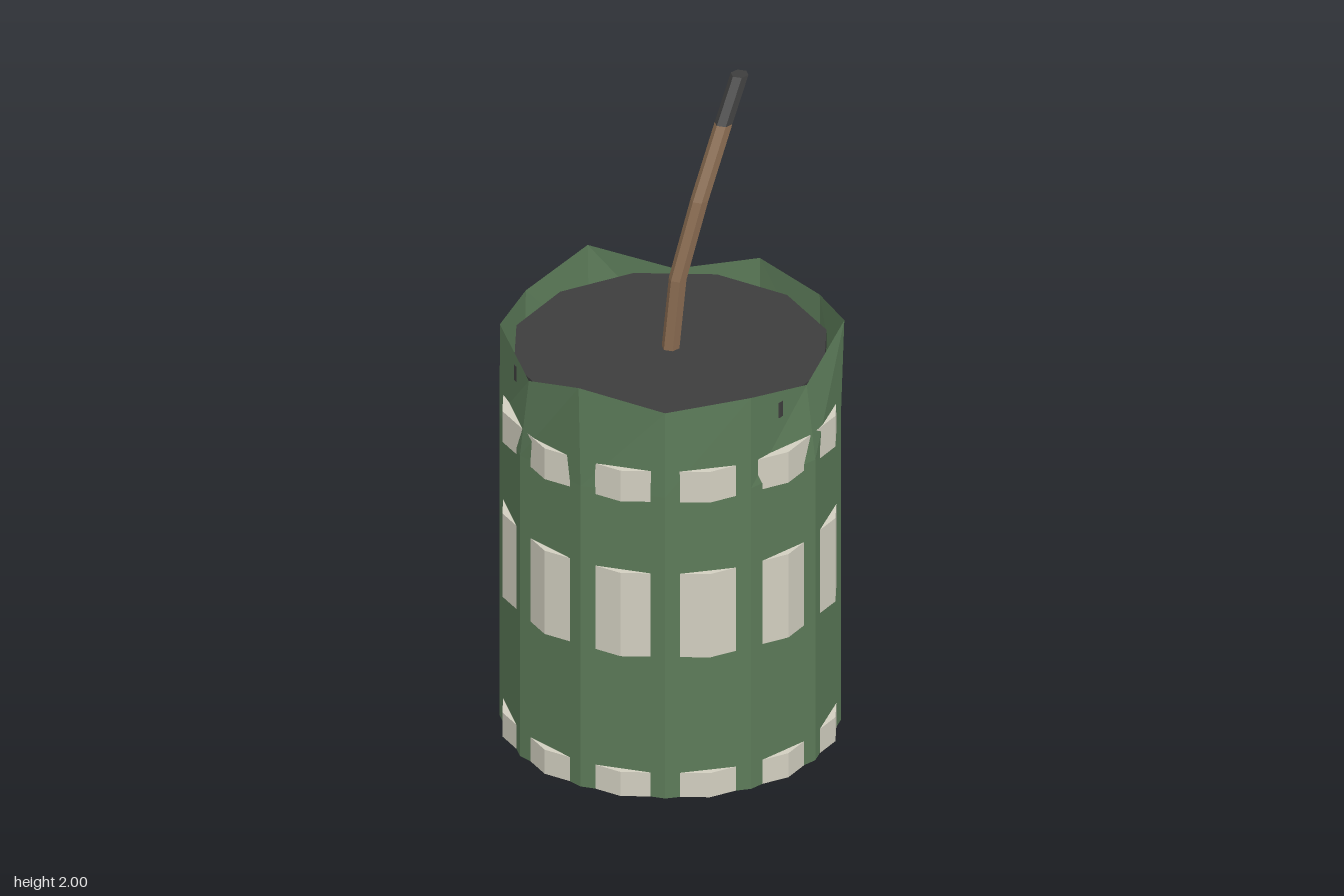
import * as THREE from 'three';

const mat = (name, color, side = THREE.FrontSide) =>
  new THREE.MeshStandardMaterial({ name, color, side, flatShading: true });

export function createModel() {
  const green = mat('green', 0x5c7b59, THREE.DoubleSide);
  const cream = mat('cream', 0xd2cfc0);
  const charcoal = mat('charcoal', 0x3d3d3d);
  const brown = mat('brown', 0x86694f);

  const group = new THREE.Group();
  const add = (name, geometry, material) => {
    const mesh = new THREE.Mesh(geometry, material);
    mesh.name = name;
    group.add(mesh);
    return mesh;
  };
  const STEP = Math.PI / 6;

  // Twelve-sided wrapper; the torn rim repeats every four corners
  const rimHeight = [1.24, 1.33, 1.28, 1.30];
  const rimRadius = [0.47, 0.51, 0.497, 0.499];
  const wall = new THREE.CylinderGeometry(0.5, 0.5, 1, 12, 2, true, STEP / 2);
  const p = wall.attributes.position;
  for (let i = 0; i < p.count; i++) {
    const row = Math.floor(i / 13), k = (i % 13) % 4;
    const angle = STEP * (i % 13 + 0.5);
    const r = row === 0 ? rimRadius[k] : 0.4995;
    const y = row === 0 ? rimHeight[k] : row === 1 ? 1.0 : 0;
    p.setXYZ(i, r * Math.sin(angle), y, r * Math.cos(angle));
  }
  wall.computeVertexNormals();
  add('wrapper', wall, green);

  // Powder cap; its corners just break through the wrapper where the rim dips
  add('cap', new THREE.CylinderGeometry(0.47, 0.47, 0.05, 12).translate(0, 1.207, 0), charcoal);

  // Bands, turned half a side so the wrapper's corners show between them
  for (const [name, y0, y1] of [
    ['bottomBand', 0, 0.08], ['middleBand', 0.465, 0.742], ['topBand', 0.98, 1.082],
  ]) {
    add(name, new THREE.CylinderGeometry(0.505, 0.505, y1 - y0, 12).translate(0, (y0 + y1) / 2, 0), cream);
  }

  // Thin plates on single sides of the wrapper
  const plate = (name, degrees, width, y0, y1) => {
    const g = new THREE.BoxGeometry(width, y1 - y0, 0.009).translate(0, (y0 + y1) / 2, 0.484);
    add(name, g.rotateY(THREE.MathUtils.degToRad(degrees)), cream);
  };
  plate('seamStrip', 90, 0.052, 0.2, 0.99);
  plate('tab', 150, 0.155, 0.395, 0.5);

  // Bent six-sided fuse with level cross-sections
  const path = [
    [0, 1.22, 0], [0.03, 1.45, 0], [0.118, 1.68, 0], [0.238, 1.88, -0.025], [0.328, 2, -0.052],
  ];
  const fusePart = (name, points, material) => {
    const g = new THREE.CylinderGeometry(0.027, 0.027, points.length - 1, 6, points.length - 1, false, Math.PI / 2);
    const q = g.attributes.position;
    for (let i = 0; i < q.count; i++) {
      const [x, y, z] = points[Math.round(q.getY(i) + (points.length - 1) / 2)];
      q.setXYZ(i, q.getX(i) + x, y, q.getZ(i) + z);
    }
    g.computeVertexNormals();
    add(name, g, material);
  };
  fusePart('fuse', path.slice(0, 4), brown);
  fusePart('fuseTip', path.slice(3), charcoal);

  return group;
}
